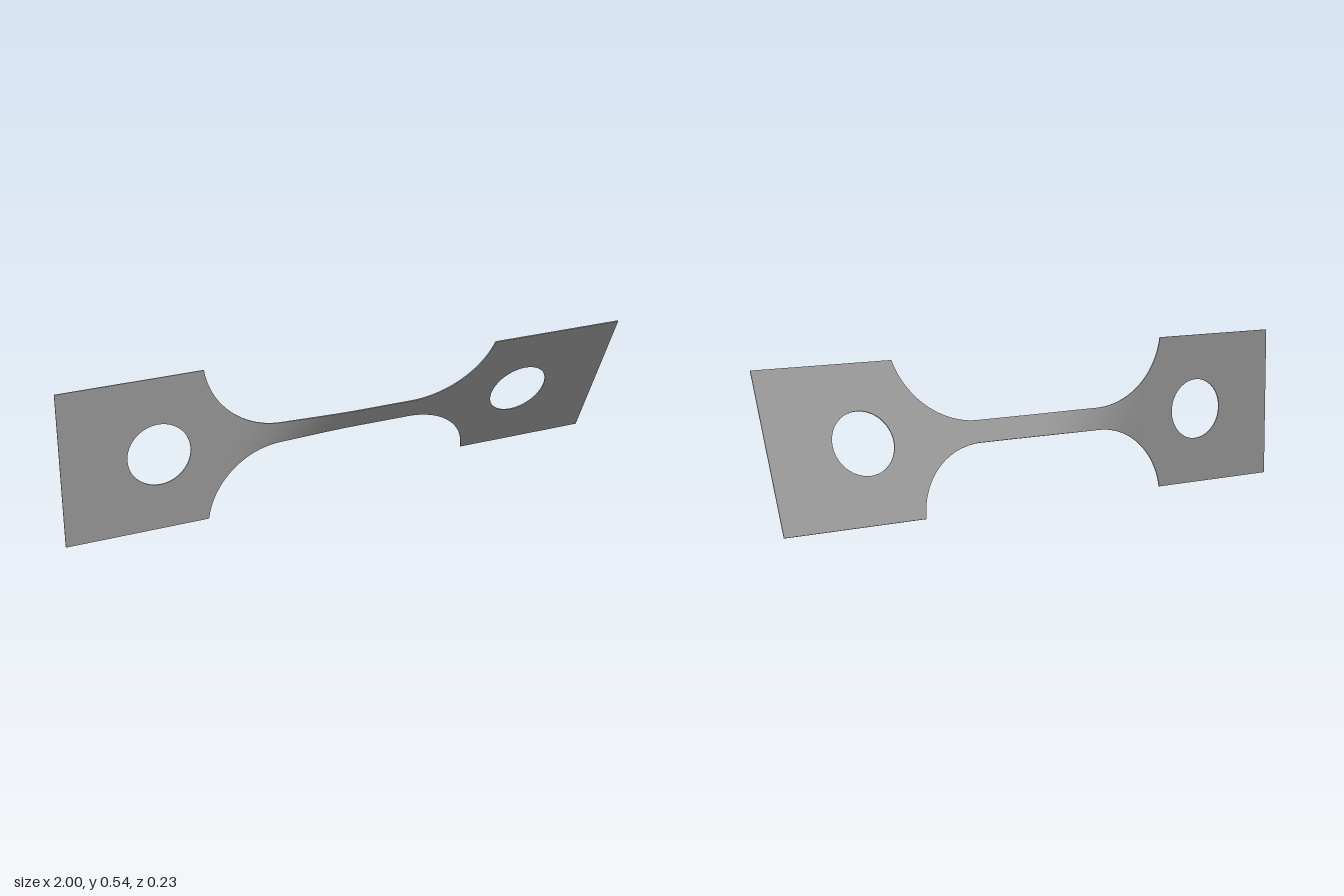
import * as THREE from 'three';

const CENTER_Y = 0.271, HALF_HEIGHT = 0.27, THICK = 0.004;
const NECK_X = 0.24, FILLET_R = 0.27, NECK_HALF = 0.039;
const FILLET_ANGLE = Math.acos((NECK_HALF + FILLET_R - HALF_HEIGHT) / FILLET_R);
const END_X = NECK_X + FILLET_R * Math.sin(FILLET_ANGLE);
const TWIST_START = 0.011, TWIST_END = THREE.MathUtils.degToRad(25);

// Twist about the long axis, turning mainly through the left part of the neck
function twistAt(x) {
  return THREE.MathUtils.lerp(TWIST_START, TWIST_END, THREE.MathUtils.smoothstep(x, -0.45, 0.05));
}

// Square grip plate with a round hole
function gripPlate(side, material) {
  const shape = new THREE.Shape();
  shape.moveTo(END_X, -HALF_HEIGHT);
  shape.lineTo(1, -HALF_HEIGHT);
  shape.lineTo(1, HALF_HEIGHT);
  shape.lineTo(END_X, HALF_HEIGHT);
  shape.closePath();
  const hole = new THREE.Path();
  hole.absarc(0.67, 0, 0.108, 0, Math.PI * 2, true);
  shape.holes.push(hole);

  const geometry = new THREE.ExtrudeGeometry(shape, { depth: THICK, bevelEnabled: false, curveSegments: 32 });
  geometry.translate(0, 0, -THICK / 2);
  if (side < 0) geometry.rotateY(Math.PI);
  geometry.rotateX(twistAt(side));
  const mesh = new THREE.Mesh(geometry, material);
  mesh.name = side < 0 ? 'rightGripPlate' : 'leftGripPlate';
  return mesh;
}

// Narrow neck with circular fillets, warped from a box and twisted
function twistedNeck(material) {
  const geometry = new THREE.BoxGeometry(2, 2, THICK, 100, 4, 1);
  const pos = geometry.attributes.position;
  for (let i = 0; i < pos.count; i++) {
    const u = pos.getX(i), a = Math.abs(u);
    let x = (a / 0.4) * NECK_X, half = NECK_HALF;
    if (a > 0.4) {
      const angle = ((a - 0.4) / 0.6) * FILLET_ANGLE;
      x = NECK_X + FILLET_R * Math.sin(angle);
      half = NECK_HALF + FILLET_R * (1 - Math.cos(angle));
    }
    x *= Math.sign(u);
    const y = pos.getY(i) * half, z = pos.getZ(i), t = twistAt(x);
    pos.setXYZ(i, x, y * Math.cos(t) - z * Math.sin(t), y * Math.sin(t) + z * Math.cos(t));
  }
  geometry.computeVertexNormals();
  const mesh = new THREE.Mesh(geometry, material);
  mesh.name = 'twistedNeck';
  return mesh;
}

export function createModel() {
  const steel = new THREE.MeshStandardMaterial({ color: 0xb0b0b0 });
  steel.name = 'steel grey';
  const group = new THREE.Group();
  group.name = 'twistedTestStrip';
  group.add(gripPlate(-1, steel), twistedNeck(steel), gripPlate(1, steel));
  group.position.y = CENTER_Y;
  return group;
}
